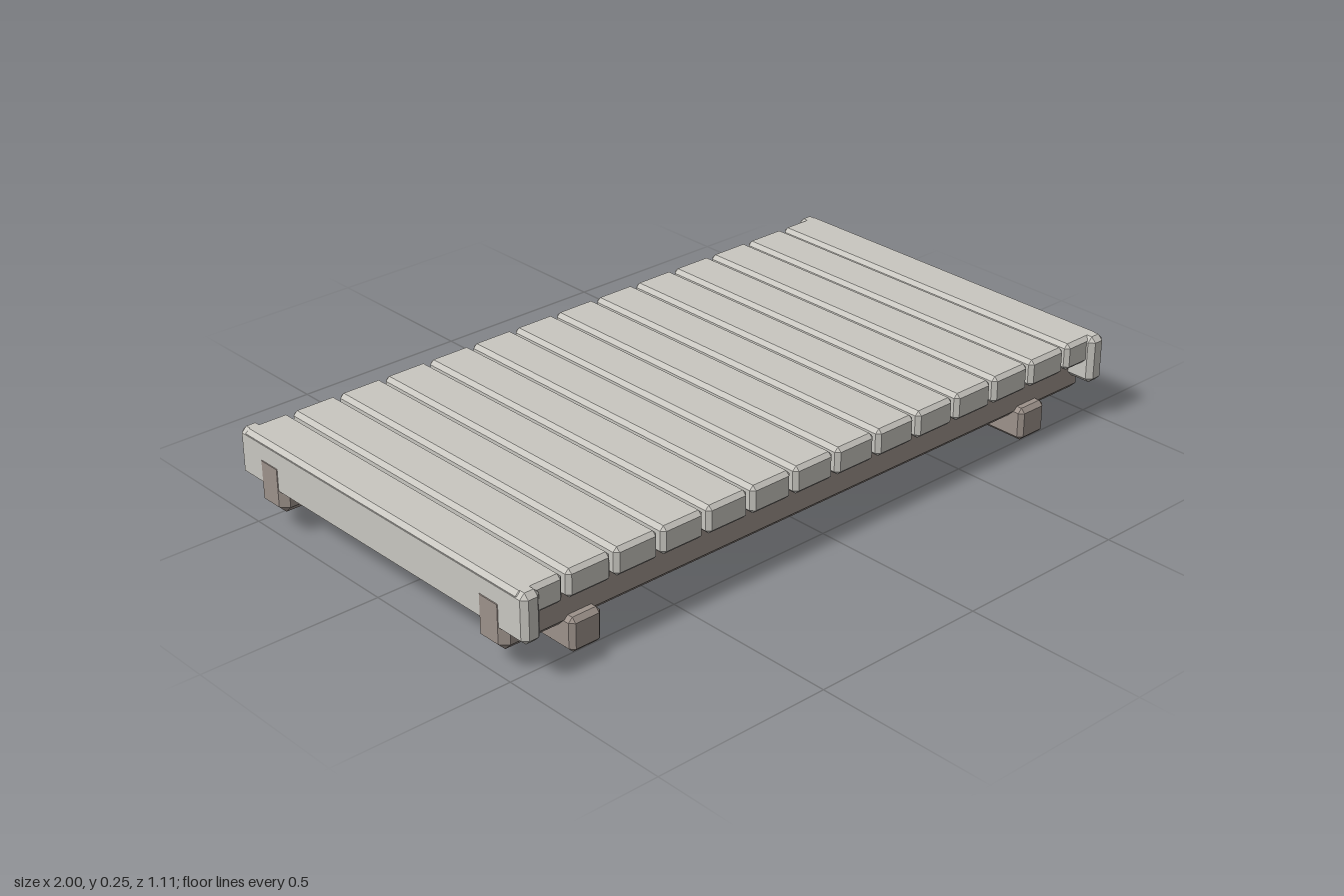
import * as THREE from 'three';
import { ConvexGeometry } from 'three/addons/geometries/ConvexGeometry.js';

// Box with bevelled edges and corners: each corner becomes three points
function chamferBox(w, h, d, c) {
  const points = [];
  for (const sx of [-1, 1]) for (const sy of [-1, 1]) for (const sz of [-1, 1]) {
    for (let axis = 0; axis < 3; axis++) {
      const inset = [0, 1, 2].map((i) => (i === axis ? 0 : c));
      points.push(new THREE.Vector3(
        sx * (w / 2 - inset[0]), sy * (h / 2 - inset[1]), sz * (d / 2 - inset[2])));
    }
  }
  return new ConvexGeometry(points);
}

export function createModel() {
  const model = new THREE.Group();
  model.name = 'slattedPlatform';

  const paleWood = new THREE.MeshStandardMaterial({ color: 0xc8c6c0 });
  paleWood.name = 'paleWood';
  const brownWood = new THREE.MeshStandardMaterial({ color: 0x9c918a });
  brownWood.name = 'brownWood';

  function add(name, geometry, material, x, y, z) {
    const mesh = new THREE.Mesh(geometry, material);
    mesh.name = name;
    mesh.position.set(x, y, z);
    model.add(mesh);
  }

  // Deck of planks running front to back
  const count = 14, pitch = 0.1435;
  const plank = chamferBox(0.132, 0.076, 1.076, 0.011);
  for (let i = 0; i < count; i++) {
    add('plank', plank, paleWood, (i - (count - 1) / 2) * pitch, 0.21, 0);
  }

  const endCap = chamferBox(0.055, 0.134, 1.114, 0.014);
  const beam = chamferBox(2.002, 0.145, 0.104, 0.02);
  const runner = chamferBox(0.095, 0.093, 1.02, 0.012);
  for (const side of [-1, 1]) {
    // Boards closing the two ends of the deck
    add(side > 0 ? 'leftEndCap' : 'rightEndCap', endCap, paleWood, side * 0.972, 0.181, 0);
    // Long beams under the planks, their ends showing through the caps
    add(side > 0 ? 'frontBeam' : 'backBeam', beam, brownWood, 0, 0.135, side * 0.43);
    // Cross runners resting on the ground
    add(side > 0 ? 'leftRunner' : 'rightRunner', runner, brownWood, side * 0.777, 0.0465, 0);
  }
  return model;
}
